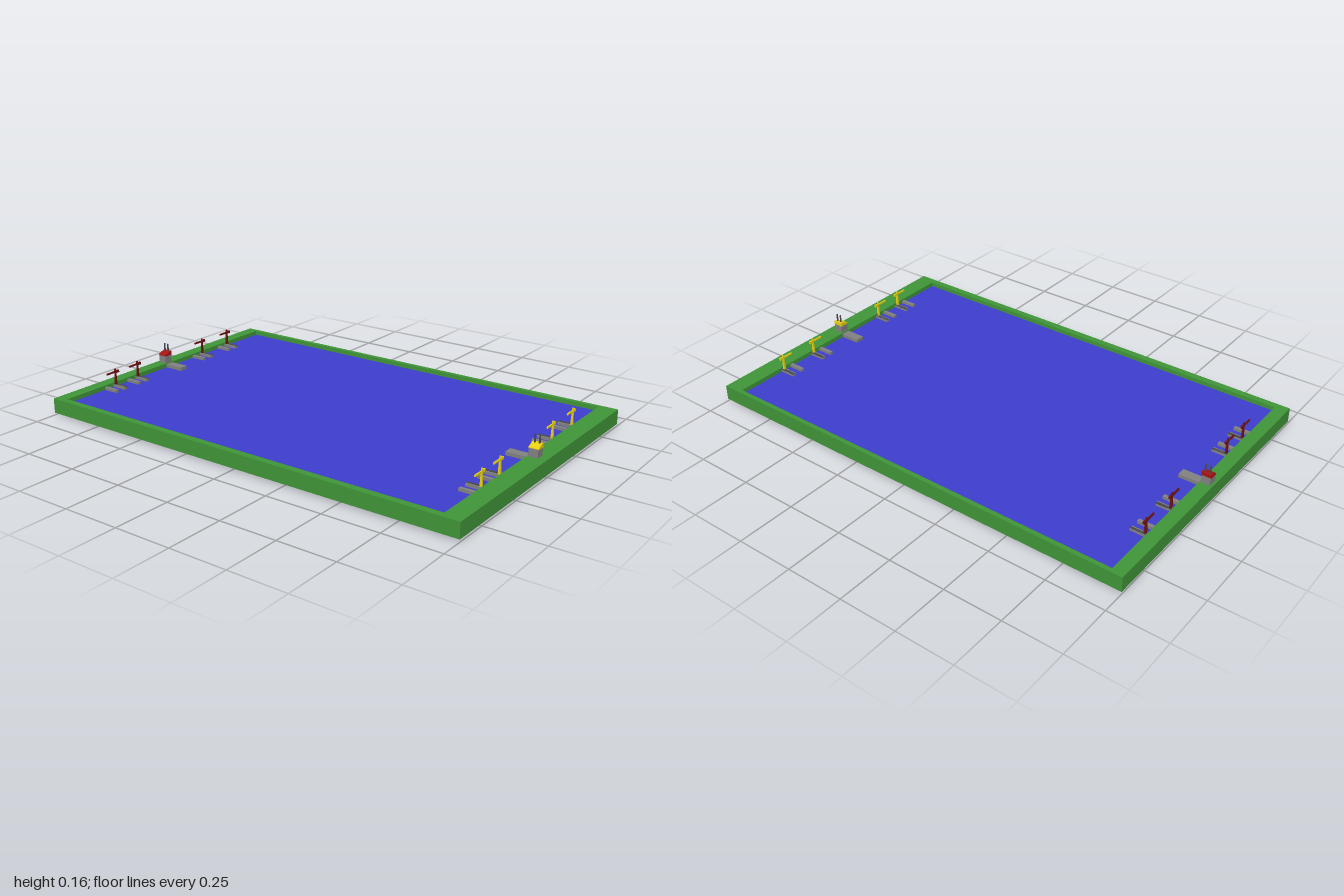
import * as THREE from 'three';

const mat = (color) => new THREE.MeshStandardMaterial({ color, flatShading: true });
const GREEN = mat(0x3f9338), WATER = mat(0x3d3dcc), BED = mat(0x6b6650), GREY = mat(0x808080),
  DARK = mat(0x48484c), YELLOW = mat(0xe6cf12), RED = mat(0xa81414), MAROON = mat(0x6a1212);

// Box given by its minimum and maximum corners
function box(parent, name, material, [x0, y0, z0], [x1, y1, z1]) {
  const mesh = new THREE.Mesh(new THREE.BoxGeometry(x1 - x0, y1 - y0, z1 - z0), material);
  mesh.position.set((x0 + x1) / 2, (y0 + y1) / 2, (z0 + z1) / 2);
  mesh.name = name;
  parent.add(mesh);
  return mesh;
}

// Rectangle outline in plan
function rect(target, x0, x1, z0, z1) {
  target.moveTo(x0, -z1);
  target.lineTo(x1, -z1);
  target.lineTo(x1, -z0);
  target.lineTo(x0, -z0);
  target.closePath();
  return target;
}

// Small harbour crane with a tapered mast and a jib along z
function crane(material, x, z) {
  const g = new THREE.Group();
  g.name = 'crane';
  const mast = new THREE.Mesh(new THREE.CylinderGeometry(0.004, 0.007, 0.075, 4, 1), material);
  mast.name = 'mast';
  mast.rotation.y = Math.PI / 4;
  mast.position.y = 0.1025;
  g.add(mast);
  box(g, 'jib', material, [-0.003, 0.123, -0.005], [0.003, 0.13, 0.05]);
  box(g, 'counterweight', material, [-0.004, 0.121, -0.02], [0.004, 0.132, -0.005]);
  g.position.set(x, 0, z);
  return g;
}

// Boathouse with a sloping roof and two chimneys
function powerHouse(roofMaterial, x) {
  const g = new THREE.Group();
  g.name = 'powerHouse';
  box(g, 'walls', GREY, [-0.02, 0.07, -0.02], [0.02, 0.11, 0.02]);
  // Roof profile runs along z, extruded across x
  const profile = new THREE.Shape([[-0.02, 0.108], [0.02, 0.108], [0.02, 0.126], [0.01, 0.126], [-0.02, 0.113]]
    .map(([a, b]) => new THREE.Vector2(a, b)));
  const roof = new THREE.Mesh(
    new THREE.ExtrudeGeometry(profile, { depth: 0.042, bevelEnabled: false }), roofMaterial);
  roof.name = 'roof';
  roof.rotation.y = Math.PI / 2;
  roof.position.x = -0.021;
  g.add(roof);
  for (const side of [-1, 1]) {
    const chimney = new THREE.Mesh(new THREE.CylinderGeometry(0.003, 0.0045, 0.05, 8), DARK);
    chimney.name = 'chimney';
    chimney.position.set(side * 0.01, 0.135, -0.01);
    g.add(chimney);
  }
  g.position.x = x;
  return g;
}

export function createModel() {
  const model = new THREE.Group();
  model.name = 'harbourBoard';

  // Green land border around the basin
  const outline = rect(new THREE.Shape(), -1, 1, -0.65, 0.65);
  outline.holes.push(rect(new THREE.Path(), -0.945, 0.92, -0.63, 0.62));
  const border = new THREE.Mesh(
    new THREE.ExtrudeGeometry(outline, { depth: 0.065, bevelEnabled: false }), GREEN);
  border.name = 'landBorder';
  border.rotation.x = -Math.PI / 2;
  border.position.y = 0.01;
  model.add(border);

  // Sea bed and water
  box(model, 'seaBed', BED, [-0.945, 0, -0.625], [0.92, 0.03, 0.62]);
  box(model, 'water', WATER, [-0.945, 0.03, -0.63], [0.92, 0.056, 0.62]);

  // Both ends: central pier, power house, four berths with cranes
  const ends = [
    { x0: -0.945, x1: -0.875, pier: [-0.95, -0.855], craneX: -0.935, craneMat: MAROON, roof: RED, houseX: -0.97 },
    { x0: 0.85, x1: 0.92, pier: [0.83, 0.925], craneX: 0.91, craneMat: YELLOW, roof: YELLOW, houseX: 0.945 },
  ];
  for (const e of ends) {
    box(model, 'pier', GREY, [e.pier[0], 0.045, -0.02], [e.pier[1], 0.071, 0.02]);
    model.add(powerHouse(e.roof, e.houseX));
    for (const z of [-0.395, -0.215, 0.215, 0.35]) {
      for (const dz of [0, 0.05]) {
        box(model, 'dock', GREY, [e.x0, 0.045, z + dz - 0.008], [e.x1, 0.068, z + dz + 0.008]);
      }
      box(model, 'dockRail', DARK, [e.x0, 0.066, z - 0.008], [e.x1, 0.07, z + 0.001]);
      model.add(crane(e.craneMat, e.craneX, z));
    }
  }
  return model;
}
